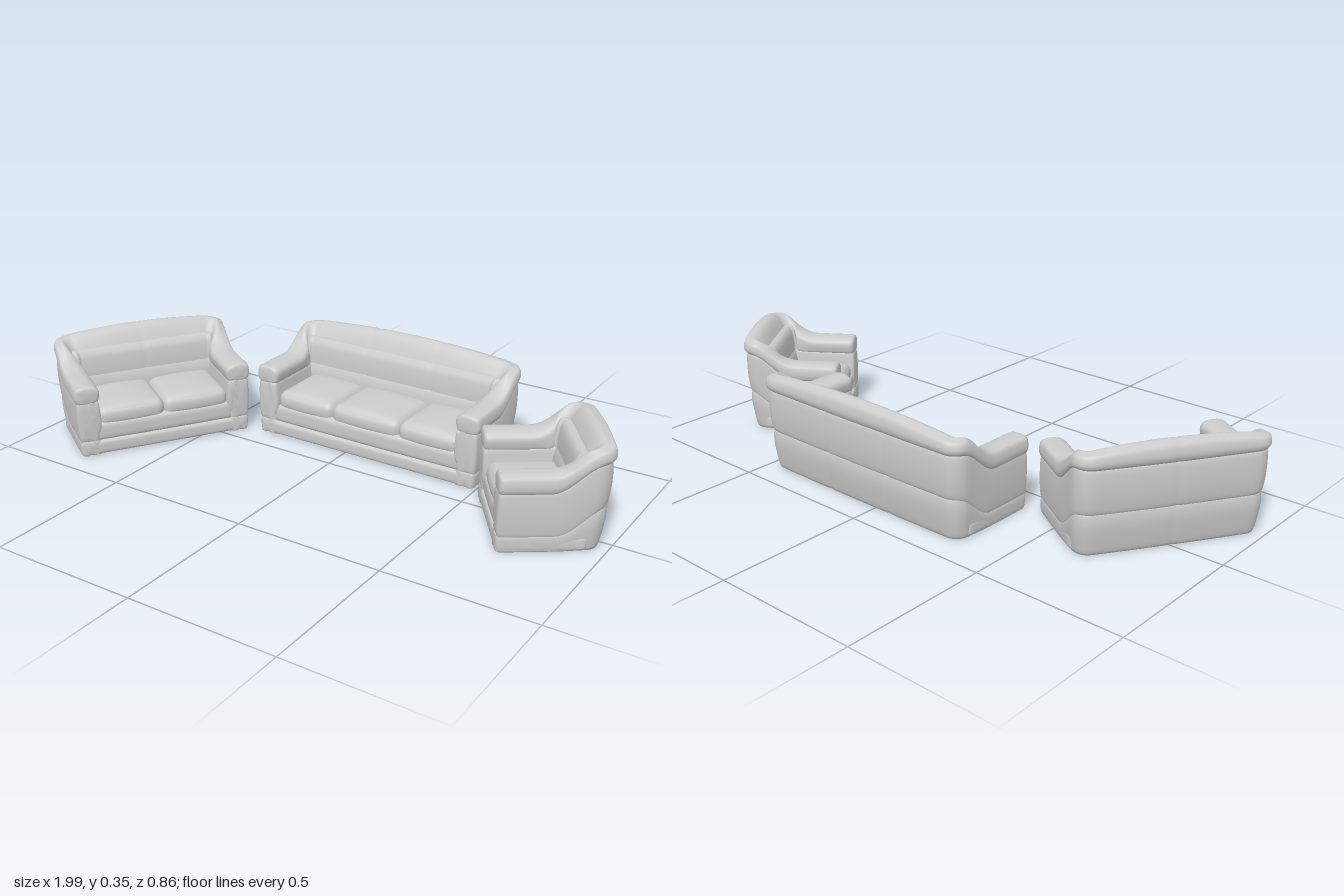
import * as THREE from 'three';
import { mergeVertices } from 'three/addons/utils/BufferGeometryUtils.js';

const material = new THREE.MeshStandardMaterial({ color: 0xcccccc });
const ARM = 0.085, BACK = 0.125, HALF_DEPTH = 0.17, CORNER = 0.055;
const { lerp, clamp, smoothstep } = THREE.MathUtils;

function addMesh(group, name, geometry) {
  const mesh = new THREE.Mesh(geometry, material);
  mesh.name = name;
  group.add(mesh);
  return mesh;
}

// Rounded block whose top and front can swell
function pillow(w, h, d, r, crown = 0, belly = 0) {
  let g = new THREE.BoxGeometry(2, 2, 2, 28, 10, 20);
  g.deleteAttribute('normal');
  g.deleteAttribute('uv');
  g = mergeVertices(g);
  const pos = g.attributes.position, half = new THREE.Vector3(w / 2, h / 2, d / 2);
  const core = half.clone().subScalar(r);
  for (let i = 0; i < pos.count; i++) {
    const u = new THREE.Vector3().fromBufferAttribute(pos, i);
    // Crowd the grid towards the edges, where the rounding is
    ['x', 'y', 'z'].forEach((k) => { u[k] = Math.sin(u[k] * Math.PI / 2); });
    const p = u.clone().multiply(half);
    const c = p.clone().clamp(core.clone().negate(), core);
    p.sub(c).setLength(r).add(c);
    if (u.y > 0) p.y += crown * u.y * (1 - u.x ** 2) * (1 - u.z ** 4);
    if (u.z > 0) p.z += belly * u.z * (1 - u.x ** 2);
    pos.setXYZ(i, p.x, p.y, p.z);
  }
  g.computeVertexNormals();
  return g;
}

// Stations along the U of arm, back and arm
function makeStations(w, seams) {
  const d = HALF_DEPTH, half = [];
  const put = (x, z, scale = 1) => half.push({ x, z, scale });
  // Rounded arm front
  [[0, 0], [0, 0.7], [0.004, 0.9], [0.009, 0.97], [0.016, 1]].forEach(([o, s]) => put(w, d - o, s));
  for (let i = 1; i <= 18; i++) put(w, lerp(d - 0.016, -d + CORNER, i / 18));
  for (let i = 1; i <= 8; i++) {
    const a = i / 8 * Math.PI / 2;
    put(w - CORNER + CORNER * Math.cos(a), -d + CORNER - CORNER * Math.sin(a));
  }
  const n = Math.ceil((w - CORNER) / 0.012);
  for (let i = 1; i <= n; i++) put((w - CORNER) * (1 - i / n), -d);
  const mirrored = half.slice(0, -1).reverse().map((s) => ({ ...s, x: -s.x }));
  return [...half, ...mirrored].map((s) => {
    const onBack = s.z < -d + CORNER;
    const bow = onBack ? 0.006 * (1 - (s.x / w) ** 2) : 0;
    const groove = onBack ? seams.reduce((g, x) => g + 0.03 * Math.exp(-(((s.x - x) / 0.009) ** 2)), 0) : 0;
    const b = smoothstep(-s.z, -0.015, 0.14);
    const crown = (0.01 + 0.034 * w) * (1 - (s.x / w) ** 2);
    return {
      b,
      scale: s.scale * (1 - groove),
      outer: [s.x, s.z - bow],
      inner: [clamp(s.x, -w + ARM, w - ARM), Math.max(s.z, -d + BACK)],
      top: lerp(0.25, 0.325 + crown, b),
      rollSeam: lerp(0.193, 0.28, b),
      lowSeam: lerp(0.05, 0.135, smoothstep(-s.z, 0.0, 0.16)),
    };
  });
}

// Sweep a closed section of [fraction from outside to inside, height]
function sweep(stations, section, samples = 32) {
  const positions = [], index = [];
  stations.forEach((s, i) => {
    const curve = new THREE.CatmullRomCurve3(
      section(s).map(([f, y]) => new THREE.Vector3(f, y, 0)), true, 'centripetal');
    const ring = Array.from({ length: samples }, (_, j) => curve.getPoint(j / samples));
    const mid = ring.reduce((m, p) => m.add(p), new THREE.Vector3()).divideScalar(samples);
    ring.forEach((p, j) => {
      p.lerpVectors(mid, p, s.scale);
      positions.push(lerp(s.outer[0], s.inner[0], p.x), Math.max(0, p.y), lerp(s.outer[1], s.inner[1], p.x));
      if (i === stations.length - 1) return;
      const k = (j + 1) % samples, a = i * samples, c = a + samples;
      index.push(a + j, c + j, c + k, a + j, c + k, a + k);
    });
  });
  const g = new THREE.BufferGeometry();
  g.setAttribute('position', new THREE.Float32BufferAttribute(positions, 3));
  g.setIndex(index);
  g.computeVertexNormals();
  return g;
}

// Sections of the upholstery, from outside bottom up and over to the inside
const sections = {
  lowerPanel: ({ b, lowSeam: y }) => [
    [lerp(0.17, 0.25, b), 0], [lerp(0.13, 0.17, b), y * 0.35], [0.12, y * 0.75], [0.15, y + 0.002],
    [0.5, y + 0.004], [0.92, y], [0.95, y * 0.5], [0.92, 0], [0.5, 0]],
  upperPanel: ({ lowSeam: y, rollSeam: t }) => [
    [0.16, y - 0.002], [0.1, lerp(y, t, 0.12)], [0.06, lerp(y, t, 0.5)], [0.07, lerp(y, t, 0.88)], [0.12, t + 0.003],
    [0.5, t + 0.006], [0.85, t - 0.005], [0.92, lerp(y, t, 0.5)], [0.9, y], [0.5, y - 0.004]],
  topRoll: ({ b, top, rollSeam: t }) => [
    [0.07, t], [0, lerp(t, top, 0.35)], [0.03, lerp(t, top, 0.75)], [lerp(0.2, 0.18, b), top - 0.003],
    [lerp(0.5, 0.3, b), top], [lerp(0.85, 0.48, b), top - lerp(0.006, 0.018, b)],
    [lerp(1.02, 0.7, b), lerp(0.225, 0.27, b)], [lerp(0.98, 0.88, b), lerp(0.2, 0.215, b)],
    [lerp(0.85, 0.84, b), lerp(0.19, 0.195, b)], [0.45, t - 0.006]],
  innerPanel: ({ b }) => [
    [0.5, 0.09], [0.5, 0.19], [lerp(0.8, 0.78, b), lerp(0.195, 0.212, b)],
    [lerp(0.94, 0.92, b), lerp(0.19, 0.2, b)], [lerp(0.98, 1.0, b), 0.165], [1.02, 0.12], [0.95, 0.08]],
};

function sofa(name, width, cushionWidths) {
  const group = new THREE.Group(), w = width / 2, d = HALF_DEPTH;
  group.name = name;
  const total = cushionWidths.reduce((a, c) => a + c, 0), inside = width - 2 * ARM + 0.008;
  const seams = [];
  let x = -inside / 2;
  // Seat cushions
  cushionWidths.forEach((part, i) => {
    const cw = part / total * inside;
    addMesh(group, 'seatCushion', pillow(cw + 0.004, 0.064, 0.23, 0.026, 0.013, 0.006))
      .position.set(x + cw / 2, 0.126, 0.043);
    x += cw;
    if (i < cushionWidths.length - 1) seams.push(x);
  });
  // Arms and back
  const stations = makeStations(w, seams);
  for (const [part, section] of Object.entries(sections)) addMesh(group, part, sweep(stations, section));
  // Plinth and front apron
  addMesh(group, 'plinth', pillow(width - 0.022, 0.05, 0.27, 0.014)).position.set(0, 0.025, d - 0.135);
  addMesh(group, 'frontApron', pillow(width - 2 * ARM + 0.05, 0.066, 0.24, 0.018, 0, 0.002))
    .position.set(0, 0.079, d - 0.126);
  return group;
}

export function createModel() {
  const model = new THREE.Group();
  model.name = 'sofaSet';
  const place = (piece, x, z, degrees) => {
    piece.position.set(x, 0, z);
    piece.rotation.y = THREE.MathUtils.degToRad(degrees);
    model.add(piece);
  };
  place(sofa('threeSeatSofa', 0.865, [0.22, 0.26, 0.22]), 0.07, -0.26, 0);
  place(sofa('twoSeatSofa', 0.62, [1, 1]), -0.7, 0.08, 57);
  place(sofa('armchair', 0.385, [1]), 0.765, -0.015, -55);
  return model;
}
